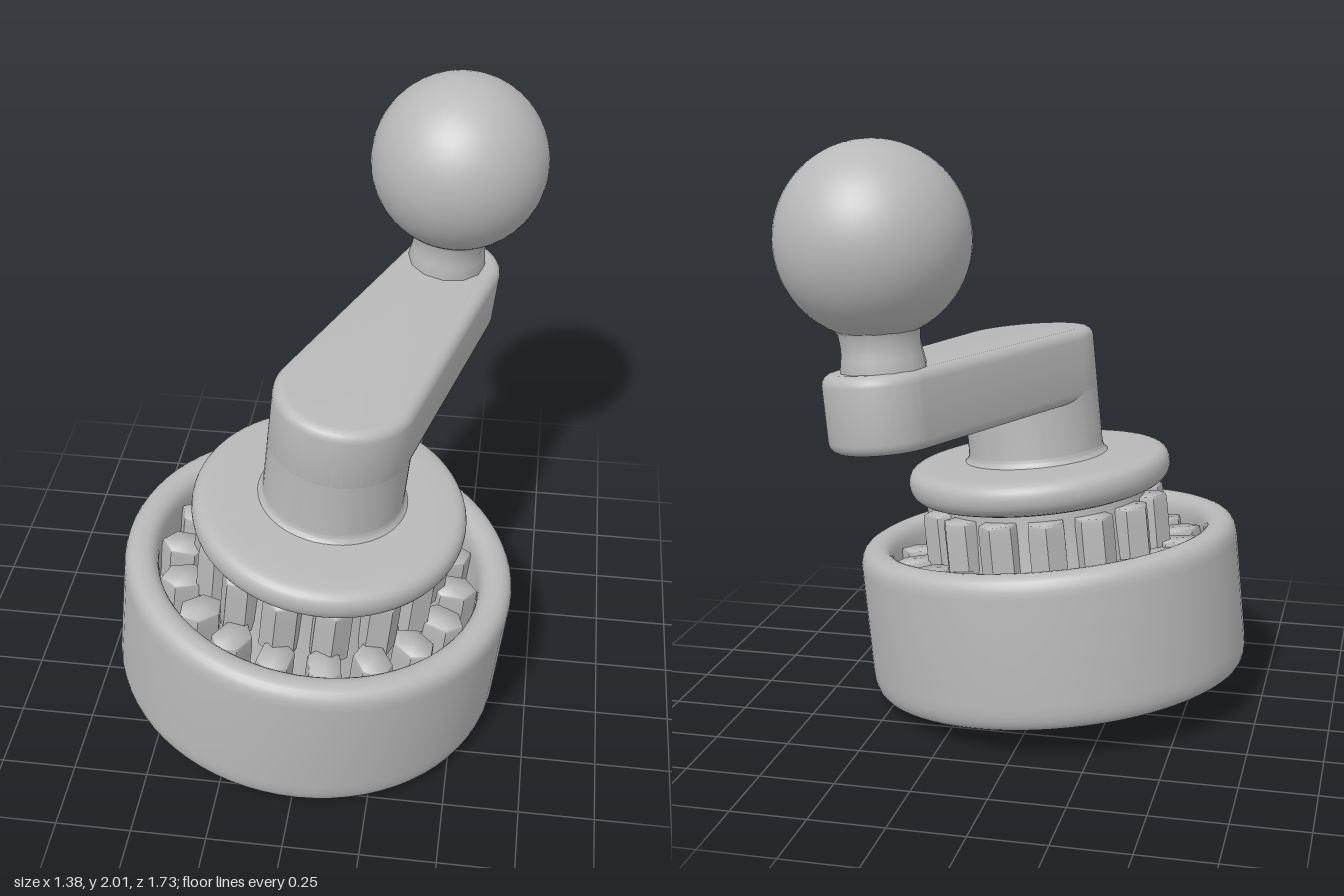
import * as THREE from 'three';
import { toCreasedNormals } from 'three/addons/utils/BufferGeometryUtils.js';

const grey = new THREE.MeshStandardMaterial({ color: 0xb8b8b8 });
grey.name = 'plain grey';

function part(name, geometry, parent) {
  const mesh = new THREE.Mesh(geometry, grey);
  mesh.name = name;
  parent.add(mesh);
  return mesh;
}

// Lathe from [radius, height] corners; a third value rounds that corner.
function turned(corners, segments = 72) {
  const pts = [];
  corners.forEach(([r, y, round], i) => {
    const p = new THREE.Vector2(r, y);
    if (!round) { pts.push(p); return; }
    const toward = (c) => {
      const q = new THREE.Vector2(c[0], c[1]).sub(p);
      return p.clone().add(q.setLength(Math.min(round, q.length() * 0.5)));
    };
    const curve = new THREE.QuadraticBezierCurve(toward(corners[i - 1]), p, toward(corners[i + 1]));
    pts.push(...curve.getPoints(6));
  });
  return toCreasedNormals(new THREE.LatheGeometry(pts, segments), 0.6);
}

// Ring of six-sided teeth, long axis pointing outwards
function toothRing(name, count, radius, length, width, y0, y1, phase, parent) {
  const ring = new THREE.Group();
  ring.name = name;
  const geo = toCreasedNormals(turned([[0, 0], [1, 0], [1, y1 - y0, 0.06], [0, y1 - y0]], 6), 0.4);
  geo.scale(width / 2, 1, length / 2);
  for (let i = 0; i < count; i++) {
    const a = (i + phase) / count * Math.PI * 2;
    const tooth = part('tooth', geo, ring);
    tooth.position.set(Math.sin(a) * radius, y0, Math.cos(a) * radius);
    tooth.rotation.y = a;
  }
  parent.add(ring);
}

// Tapered arm with round ends, lying flat and rising gently to its tip
function armGeometry(r0, r1, dx, dz, y0, y1, rise) {
  const bevel = 0.035;
  const len = Math.hypot(dx, dz);
  const a0 = r0 - bevel, a1 = r1 - bevel;
  const t = Math.asin((a0 - a1) / len);
  const shape = new THREE.Shape();
  shape.absarc(0, 0, a0, Math.PI / 2 - t, Math.PI * 1.5 + t, false);
  shape.absarc(len, 0, a1, -Math.PI / 2 + t, Math.PI / 2 - t, false);
  const geo = new THREE.ExtrudeGeometry(shape, {
    depth: y1 - y0 - 2 * bevel, bevelEnabled: true, bevelSize: bevel,
    bevelThickness: bevel, bevelSegments: 4, curveSegments: 28,
  });
  geo.rotateX(-Math.PI / 2);
  geo.translate(0, y0 + bevel, 0);
  const pos = geo.attributes.position;
  for (let i = 0; i < pos.count; i++) {
    pos.setY(i, pos.getY(i) + rise * pos.getX(i) / len);
  }
  geo.rotateY(Math.atan2(-dz, dx));
  return toCreasedNormals(geo, 0.6);
}

export function createModel() {
  const model = new THREE.Group();
  model.name = 'crankHandle';

  // Everything leans slightly with the cup
  const body = new THREE.Group();
  body.name = 'leaningBody';
  body.position.set(-0.034, 0.064, 0.185);
  body.rotation.set(0.045, 0, -0.105);
  model.add(body);

  // Round cup with a shallow recess underneath
  part('cup', turned([
    [0, 0.02], [0.565, 0.02], [0.575, 0, 0.01], [0.664, 0.0, 0.09], [0.664, 0.52, 0.07],
    [0.55, 0.52, 0.07], [0.545, 0.3], [0, 0.3],
  ]), body);

  // Gear core and the two layers of teeth
  part('gearCore', turned([[0, 0.29], [0.4, 0.29], [0.36, 0.46], [0.35, 0.7], [0, 0.7]]), body);
  toothRing('lowerTeeth', 18, 0.465, 0.165, 0.125, 0.29, 0.46, 0.5, body);
  toothRing('upperTeeth', 14, 0.36, 0.15, 0.14, 0.42, 0.625, 0.5, body);

  // Collar disc, a little longer front to back
  const collar = part('collar', turned([
    [0, 0.65], [0.38, 0.65, 0.03], [0.475, 0.68, 0.05], [0.475, 0.775, 0.06],
    [0.38, 0.785, 0.04], [0, 0.785],
  ]), body);
  collar.position.set(0.01, 0, 0.008);
  collar.scale.set(0.965, 1, 1.025);

  // Column with a small fillet on the collar
  const column = part('column', turned([[0.255, 0.78], [0.235, 0.80, 0.02], [0.235, 1.1], [0, 1.1]], 48), body);
  column.position.x = 0.014;

  // Crank arm
  const arm = part('arm', armGeometry(0.235, 0.175, 0.27, -0.82, 0.98, 1.225, 0.015), body);
  arm.position.x = 0.014;

  // Knob stem and ball
  const knob = new THREE.Group();
  knob.name = 'knob';
  knob.position.set(0.255, 0, -0.818);
  body.add(knob);
  const stem = part('stem', turned([
    [0, 1.2], [0.135, 1.2], [0.135, 1.25], [0.124, 1.31, 0.03], [0.13, 1.36], [0.16, 1.4], [0, 1.4],
  ], 12), knob);
  stem.position.x = 0.01;
  part('ball', new THREE.SphereGeometry(0.302, 48, 32), knob).position.y = 1.635;

  return model;
}
